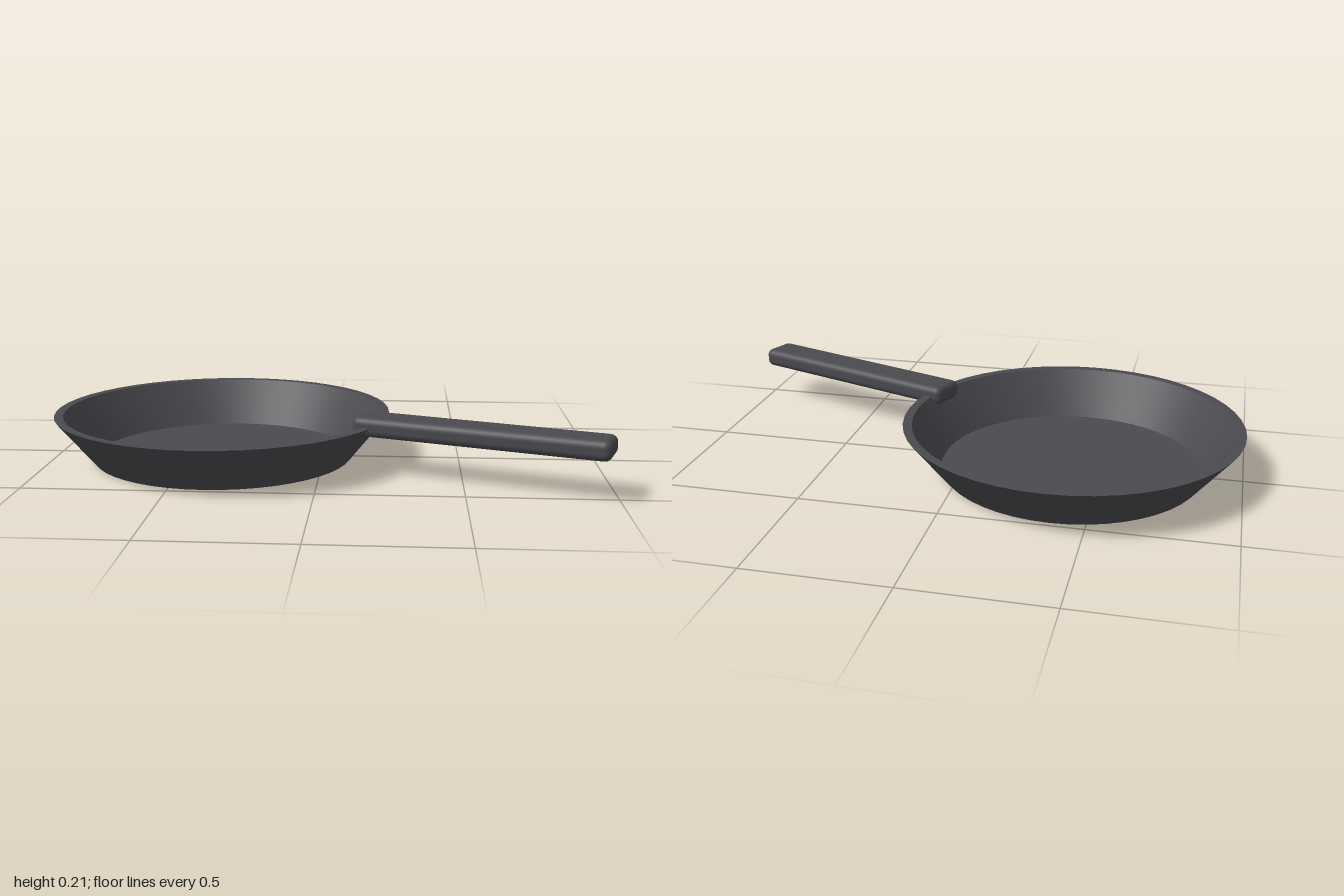
import * as THREE from 'three';
import { toCreasedNormals } from 'three/addons/utils/BufferGeometryUtils.js';
import { RoundedBoxGeometry } from 'three/addons/geometries/RoundedBoxGeometry.js';

export function createModel() {
  const model = new THREE.Group();
  model.name = 'fryingPan';

  const iron = new THREE.MeshStandardMaterial({ color: 0x4a4a4f });
  iron.name = 'charcoal iron';

  // Bowl: underside, flared outer wall, flat rim, inner wall, floor
  const profile = [
    [0, 0], [0.48, 0], [0.62, 0.172], [0.587, 0.172], [0.48, 0.004], [0, 0.004],
  ].map(([r, y]) => new THREE.Vector2(r, y));
  const bowl = new THREE.Mesh(
    toCreasedNormals(new THREE.LatheGeometry(profile, 48), 0.5), iron);
  bowl.name = 'bowl';
  bowl.position.x = -0.38;
  model.add(bowl);

  // Handle: flat rounded bar overlapping the rim, swung towards the front
  const handle = new THREE.Mesh(
    new RoundedBoxGeometry(0.9, 0.071, 0.14, 4, 0.026), iron);
  handle.name = 'handle';
  handle.position.set(0.555, 0.172, 0.339);
  handle.rotation.y = -THREE.MathUtils.degToRad(20);
  model.add(handle);

  return model;
}
